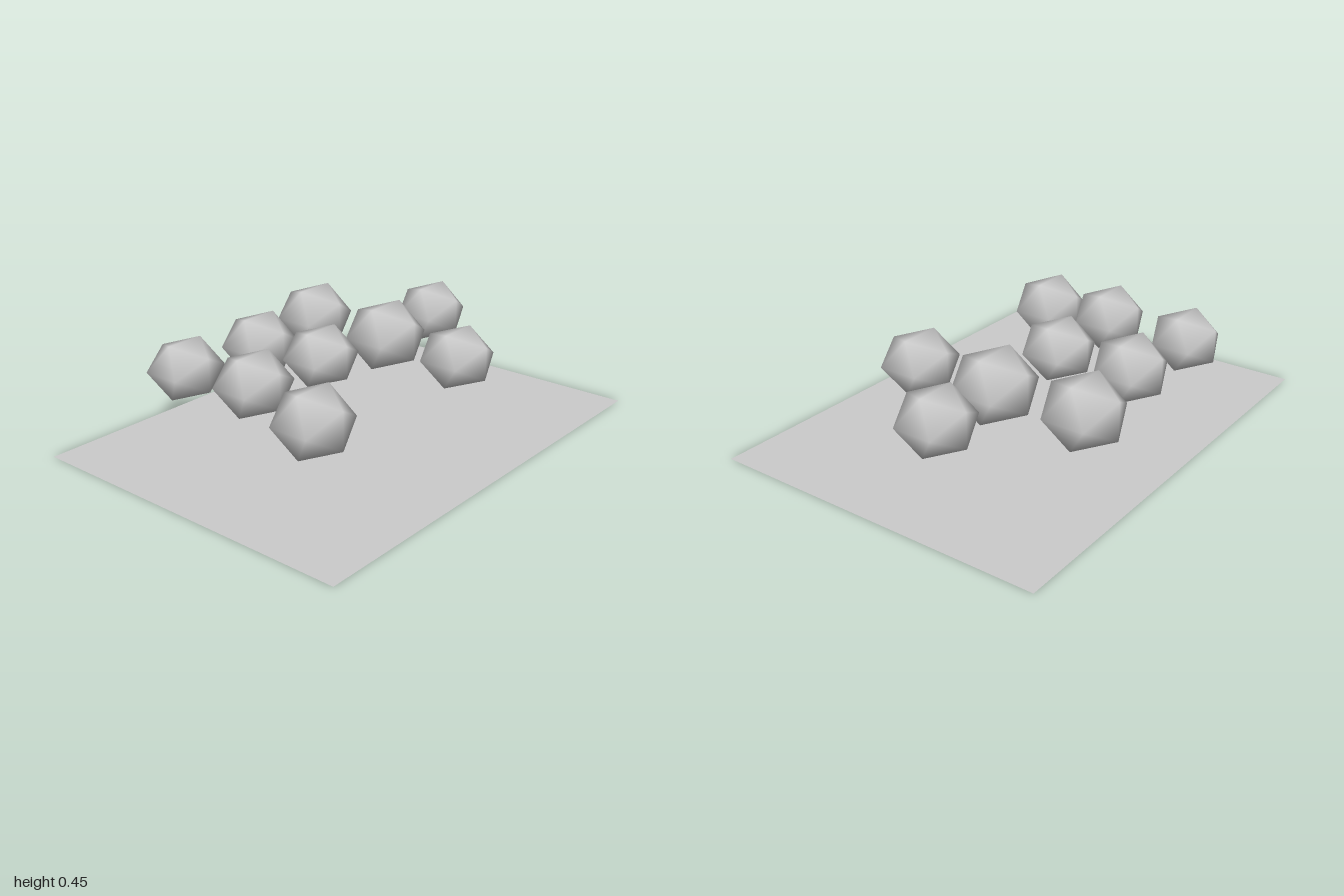
import * as THREE from 'three';
import { mergeVertices } from 'three/addons/utils/BufferGeometryUtils.js';

// Unit-extent icosahedron with shared vertices, so it shades smoothly
function puffGeometry() {
  let g = new THREE.IcosahedronGeometry(1, 0);
  g.deleteAttribute('normal');
  g.deleteAttribute('uv');
  g = mergeVertices(g);
  g.computeBoundingBox();
  const s = 1 / g.boundingBox.max.x;
  g.scale(s, s, s);
  g.computeVertexNormals();
  return g;
}

export function createModel() {
  const model = new THREE.Group();
  model.name = 'floatingPuffs';
  const material = new THREE.MeshStandardMaterial({ color: 0xcccccc });

  // Flat ground sheet, visible from both sides
  const sheet = new THREE.Mesh(
    new THREE.PlaneGeometry(2, 1.5).rotateX(-Math.PI / 2),
    new THREE.MeshStandardMaterial({ color: 0xcccccc, side: THREE.DoubleSide })
  );
  sheet.name = 'groundSheet';
  model.add(sheet);

  // Slightly squashed balls: centre x, y, z, half width, half height
  const puffs = [
    [-0.505, 0.308, -0.475, 0.139, 0.118],
    [-0.104, 0.314, -0.441, 0.144, 0.126],
    [0.332, 0.319, -0.503, 0.152, 0.133],
    [-0.485, 0.329, -0.102, 0.142, 0.122],
    [-0.073, 0.326, -0.11, 0.142, 0.116],
    [0.34, 0.312, -0.088, 0.16, 0.138],
    [0.722, 0.325, -0.112, 0.141, 0.122],
    [-0.529, 0.282, 0.251, 0.146, 0.131],
    [0.329, 0.304, 0.308, 0.145, 0.118],
  ];
  const geometry = puffGeometry();
  puffs.forEach(([x, y, z, w, h], i) => {
    const puff = new THREE.Mesh(geometry, material);
    puff.name = `puff${i + 1}`;
    puff.position.set(x, y, z);
    puff.scale.set(w, h, w);
    model.add(puff);
  });
  return model;
}
